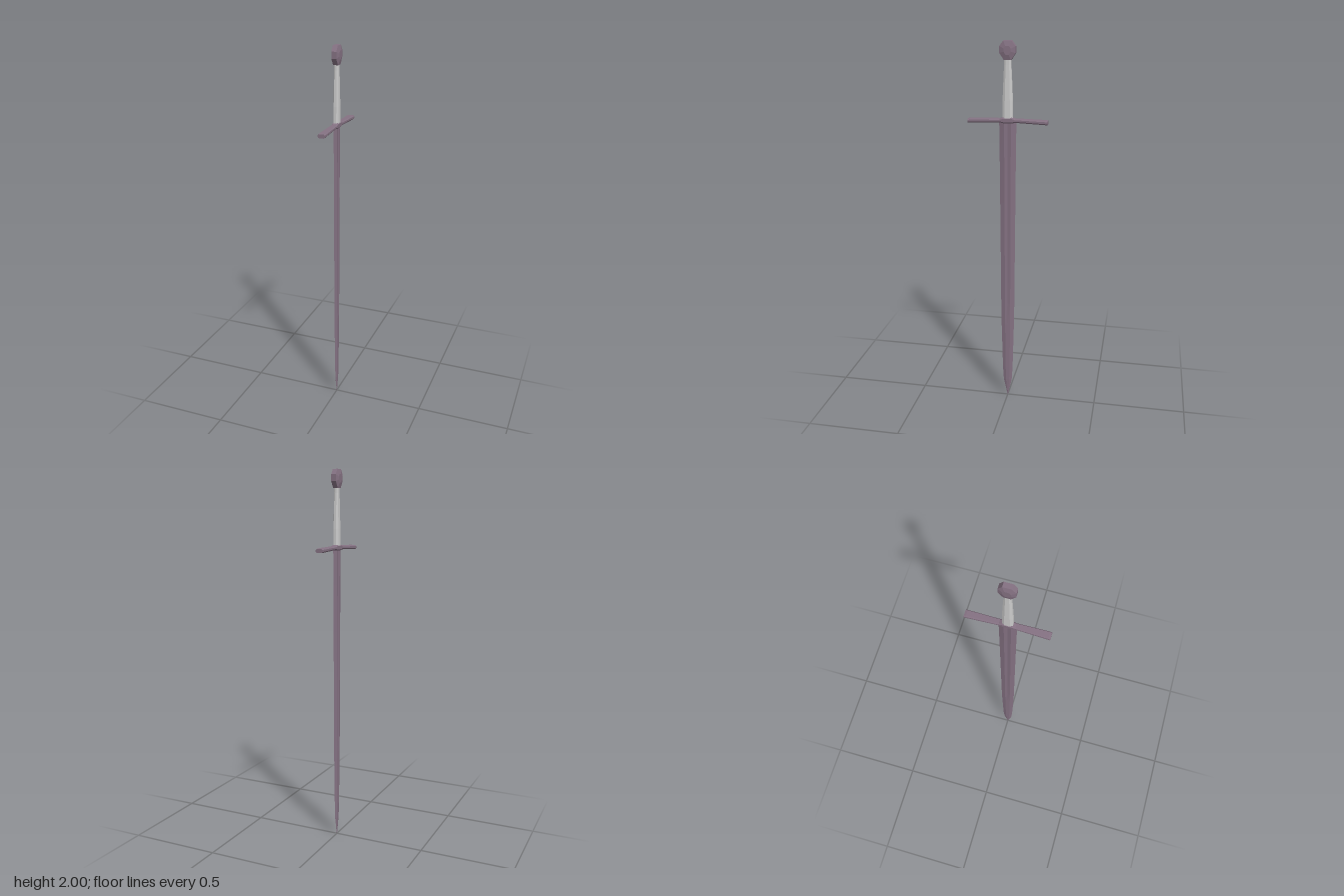
import * as THREE from 'three';

const steel = new THREE.MeshStandardMaterial({ color: 0x857283, flatShading: true });
const gripGrey = new THREE.MeshStandardMaterial({ color: 0xcccccc, flatShading: true });

// Skin a closed, capped surface over rings of [x, y, z] points (counter-clockwise seen from the last ring)
function loft(name, rings, material) {
  const n = rings[0].length;
  const index = [];
  for (let i = 0; i < rings.length - 1; i++) {
    for (let j = 0; j < n; j++) {
      const a = i * n + j, b = i * n + (j + 1) % n;
      index.push(a, b, b + n, a, b + n, a + n);
    }
  }
  const last = (rings.length - 1) * n;
  for (let j = 1; j < n - 1; j++) {
    index.push(0, j + 1, j, last, last + j, last + j + 1);
  }
  const geometry = new THREE.BufferGeometry();
  geometry.setAttribute('position', new THREE.Float32BufferAttribute(rings.flat(2), 3));
  geometry.setIndex(index);
  const flat = geometry.toNonIndexed();
  flat.computeVertexNormals();
  const mesh = new THREE.Mesh(flat, material);
  mesh.name = name;
  return mesh;
}

// Rectangle with cut corners, half sizes a and b, as [u, v] pairs
function chamfered(a, b, cutA, cutB) {
  return [[a, -b + cutB], [a, b - cutB], [a - cutA, b], [-a + cutA, b],
    [-a, b - cutB], [-a, -b + cutB], [-a + cutA, -b], [a - cutA, -b]];
}

export function createModel() {
  const sword = new THREE.Group();
  sword.name = 'sword';

  // Blade: [height, half width, half thickness, groove depth]
  const bladeRings = [
    [0, 0.001, 0.001, 0], [0.10, 0.023, 0.005, 0], [0.18, 0.028, 0.006, 0],
    [0.45, 0.035, 0.006, 0], [0.58, 0.037, 0.006, 0.002], [1.16, 0.041, 0.007, 0.003],
    [1.41, 0.043, 0.008, 0.003], [1.6, 0.045, 0.009, 0.003],
  ].map(([y, w, t, d]) => [
    [0, w], [t, w * 0.4], [t - d, 0], [t, -w * 0.4],
    [0, -w], [-t, -w * 0.4], [-t + d, 0], [-t, w * 0.4],
  ].map(([x, z]) => [x, y, z]));
  sword.add(loft('blade', bladeRings, steel));

  // Crossguard: [z, centre height, half width, half height], arms drooping and flaring to the ends
  const guardHalf = [
    [0.208, 1.596, 0.019, 0.010], [0.198, 1.597, 0.019, 0.011],
    [0.04, 1.602, 0.015, 0.010], [0.022, 1.603, 0.016, 0.015],
  ];
  const guardStations = [
    ...guardHalf.map(([z, ...rest]) => [-z, ...rest]),
    ...guardHalf.slice().reverse(),
  ];
  const guardRings = guardStations.map(([z, cy, a, b]) =>
    chamfered(a, b, 0.005, 0.006).map(([x, y]) => [x, cy + y, z]));
  sword.add(loft('crossguard', guardRings, steel));

  // Grip: [height, half depth, half width], eight-sided
  const gripRings = [
    [1.6, 0.027, 0.014], [1.70, 0.026, 0.014], [1.82, 0.021, 0.012], [1.88, 0.018, 0.011], [1.915, 0.018, 0.011],
  ].map(([y, w, t]) =>
    chamfered(t, w, t * 0.5, w * 0.5).map(([x, z]) => [x, y, -z]));
  sword.add(loft('grip', gripRings, gripGrey));

  // Pommel: eight-sided disc, thickest through the middle, as [y, z] around its centre
  const disc = [
    [0.047, -0.021], [0.047, 0.021], [0.020, 0.041], [-0.014, 0.041],
    [-0.048, 0.018], [-0.048, -0.018], [-0.014, -0.041], [0.020, -0.041],
  ];
  const pommelRings = [[-0.020, 0.45], [-0.013, 1], [0.013, 1], [0.020, 0.45]].map(([x, s]) =>
    disc.map(([y, z]) => [x, 1.953 + y * s, z * s]));
  sword.add(loft('pommel', pommelRings, steel));

  return sword;
}
